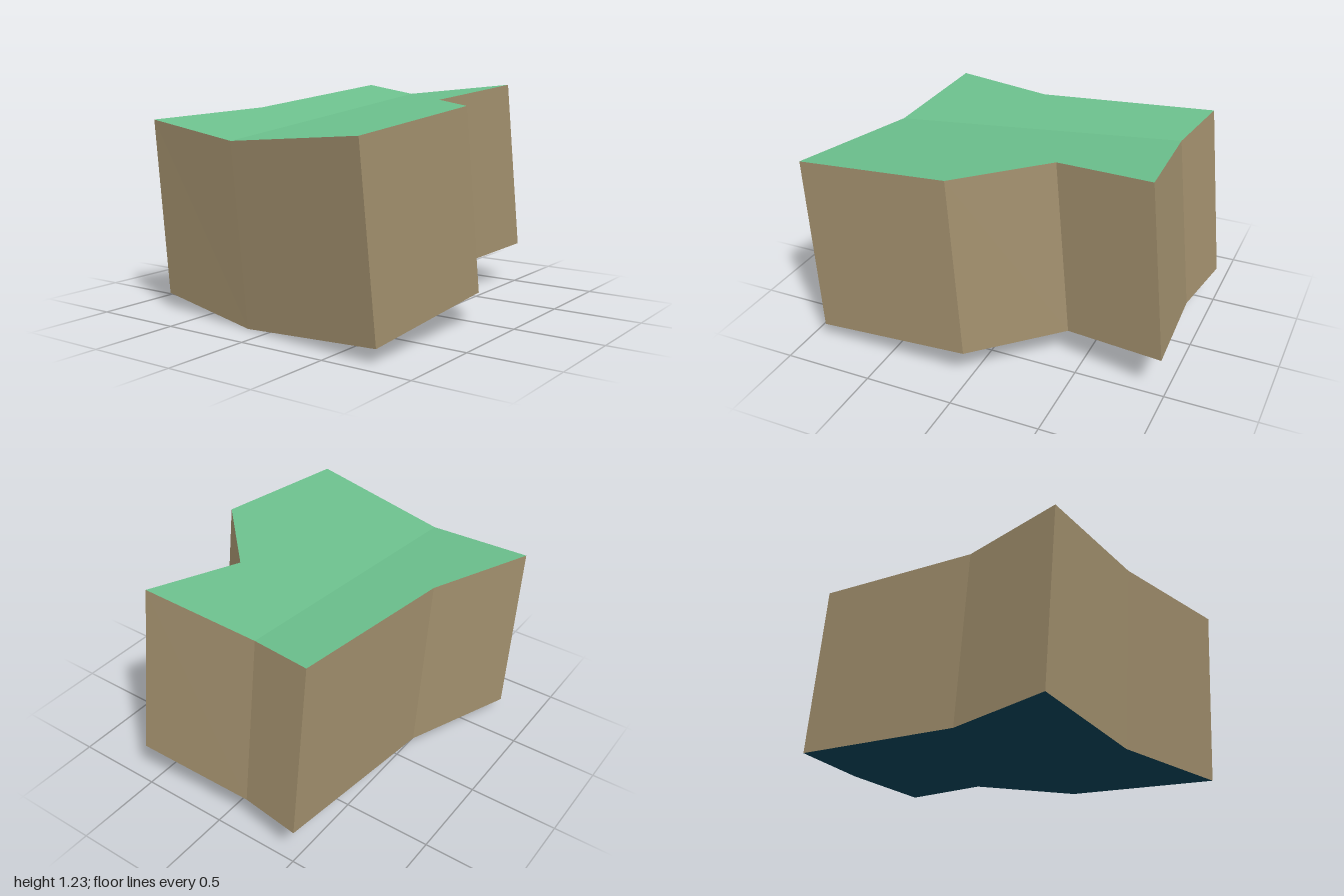
import * as THREE from 'three';

// outline corners, counter-clockwise from above: [top x, y, z, bottom x, y, z]
const corners = [
  [-0.80, 1.065, 0.79, -0.795, 0.08, 0.71],   // 0 front right
  [-0.16, 0.99, 0.88, -0.135, 0.0, 0.80],     // 1 front fold
  [0.715, 1.07, 1.0, 0.757, 0.08, 0.92],      // 2 front left
  [0.76, 1.16, 0.11, 0.80, 0.172, 0.02],      // 3 side point
  [0.347, 1.16, -0.31, 0.385, 0.175, -0.41],  // 4 notch
  [0.492, 1.23, -0.87, 0.527, 0.245, -0.98],  // 5 back left
  [-0.16, 1.16, -0.815, -0.14, 0.175, -0.925],// 6 back fold
  [-0.523, 1.205, -0.89, -0.508, 0.215, -1.0],// 7 back right
  [-0.58, 1.107, 0.15, -0.57, 0.12, 0.055],   // 8 right waist
];
const top = corners.map((c) => c.slice(0, 3));
const bottom = corners.map((c) => c.slice(3));
// the two flat halves that meet along the fold
const halves = [[0, 1, 6, 7, 8], [1, 2, 3, 4, 5, 6]];

function flatMesh(name, points, material) {
  const geometry = new THREE.BufferGeometry();
  geometry.setAttribute('position', new THREE.Float32BufferAttribute(points.flat(), 3));
  geometry.computeVertexNormals();
  const mesh = new THREE.Mesh(geometry, material);
  mesh.name = name;
  return mesh;
}

// triangles of a folded cap, facing up or down
function cap(ring, down) {
  const points = [];
  for (const half of halves) {
    const contour = half.map((i) => new THREE.Vector2(ring[i][0], -ring[i][2]));
    for (const [a, b, c] of THREE.ShapeUtils.triangulateShape(contour, [])) {
      const order = down ? [a, c, b] : [a, b, c];
      points.push(...order.map((k) => ring[half[k]]));
    }
  }
  return points;
}

export function createModel() {
  const grass = new THREE.MeshStandardMaterial({ color: 0x6cc08d, flatShading: true });
  grass.name = 'grass green';
  const earth = new THREE.MeshStandardMaterial({ color: 0xa08e6c, flatShading: true });
  earth.name = 'earth brown';
  const base = new THREE.MeshStandardMaterial({ color: 0x073e52, flatShading: true });
  base.name = 'deep blue';

  // one wall quad per outline edge
  const walls = [];
  corners.forEach((_, i) => {
    const j = (i + 1) % corners.length;
    walls.push(top[i], bottom[i], bottom[j], top[i], bottom[j], top[j]);
  });

  const group = new THREE.Group();
  group.name = 'terrainBlock';
  group.add(
    flatMesh('topSurface', cap(top, false), grass),
    flatMesh('sideWalls', walls, earth),
    flatMesh('underside', cap(bottom, true), base),
  );
  return group;
}
